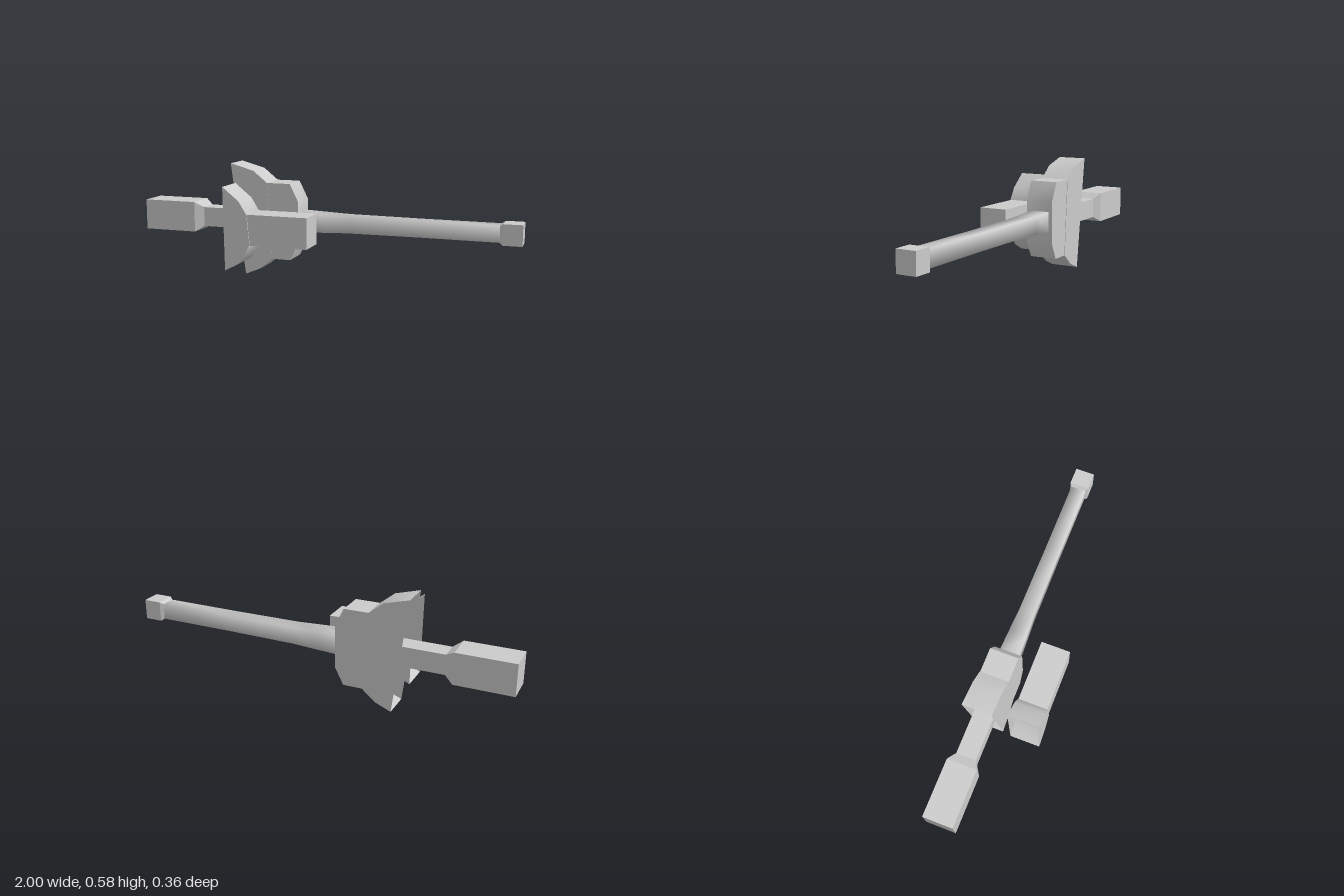
import * as THREE from 'three';
import { toCreasedNormals } from 'three/addons/utils/BufferGeometryUtils.js';

const solid = new THREE.MeshStandardMaterial({ color: 0xcccccc });
const open = new THREE.MeshStandardMaterial({ color: 0xcccccc, side: THREE.DoubleSide });

// Plate cut from an outline between z0 and z1
function plate(name, outline, z0, z1) {
  const shape = new THREE.Shape(outline.map(([x, y]) => new THREE.Vector2(x, y)));
  const geo = new THREE.ExtrudeGeometry(shape, { depth: z1 - z0, bevelEnabled: false });
  geo.translate(0, 0, z0);
  const mesh = new THREE.Mesh(toCreasedNormals(geo, 0.75), solid);
  mesh.name = name;
  return mesh;
}

// Same plate, left hollow along the cutting edge (first to last outline point)
function openPlate(name, outline, z0, z1) {
  const mesh = plate(name, outline, z0, z1);
  const p = mesh.geometry.attributes.position;
  const n = mesh.geometry.attributes.normal;
  const tips = [outline[0], outline[outline.length - 1]];
  const isTip = (i) => tips.some(([x, y]) => Math.hypot(p.getX(i) - x, p.getY(i) - y) < 1e-4);
  const pos = [];
  const nor = [];
  for (let t = 0; t < p.count; t += 3) {
    if (isTip(t) && isTip(t + 1) && isTip(t + 2)) continue;
    for (let i = t; i < t + 3; i++) {
      pos.push(p.getX(i), p.getY(i), p.getZ(i));
      nor.push(n.getX(i), n.getY(i), n.getZ(i));
    }
  }
  mesh.geometry = new THREE.BufferGeometry();
  mesh.geometry.setAttribute('position', new THREE.Float32BufferAttribute(pos, 3));
  mesh.geometry.setAttribute('normal', new THREE.Float32BufferAttribute(nor, 3));
  mesh.material = open;
  return mesh;
}

// Square bar along x from sections [x, halfHeight, halfDepth]
function bar(name, sections, smooth) {
  const pos = [];
  const idx = [];
  for (const [x, h, d] of sections) {
    for (const [sy, sz] of [[-1, -1], [-1, 1], [1, 1], [1, -1]]) pos.push(x, sy * h, sz * d);
  }
  for (let s = 0; s < sections.length - 1; s++) {
    for (let k = 0; k < 4; k++) {
      const a = s * 4 + k;
      const b = s * 4 + ((k + 1) % 4);
      idx.push(a, a + 4, b, b, a + 4, b + 4);
    }
  }
  const e = (sections.length - 1) * 4;
  if (!smooth) idx.push(0, 1, 2, 0, 2, 3, e, e + 2, e + 1, e, e + 3, e + 2);
  let geo = new THREE.BufferGeometry();
  geo.setAttribute('position', new THREE.Float32BufferAttribute(pos, 3));
  geo.setIndex(idx);
  if (smooth) geo.computeVertexNormals();
  else geo = toCreasedNormals(geo, 0.3);
  const mesh = new THREE.Mesh(geo, solid);
  mesh.name = name;
  mesh.position.set(0, 0.29, -0.104);
  return mesh;
}

export function createModel() {
  const model = new THREE.Group();
  model.name = 'axe';

  // Handle: long shaft, end knob, butt grip
  model.add(
    bar('shaft', [[-0.14, 0.052, 0.052], [0, 0.047, 0.047], [0.13, 0.043, 0.041], [0.5, 0.041, 0.039], [0.91, 0.041, 0.039]], true),
    bar('endKnob', [[0.892, 0.041, 0.04], [0.908, 0.052, 0.05], [1, 0.052, 0.05]], false),
    bar('buttGrip', [[-1, 0.08, 0.076], [-0.71, 0.08, 0.076], [-0.665, 0.051, 0.05], [-0.27, 0.051, 0.05]], false),
  );

  // Main head: body block and flaring blade
  model.add(
    plate('headBody', [[-0.29, 0.49], [-0.265, 0.093], [-0.165, 0.093], [-0.12, 0.18], [-0.12, 0.4], [-0.165, 0.49]], -0.175, -0.03),
    openPlate('headBlade', [[-0.492, 0.585], [-0.365, 0.55], [-0.29, 0.49], [-0.265, 0.093], [-0.335, 0.035], [-0.415, 0.002]], -0.177, -0.029),
  );

  // Detached front piece: hollow blade with a square block
  model.add(openPlate('frontBlade',
    [[-0.443, 0.49], [-0.355, 0.42], [-0.315, 0.356], [-0.3, 0.205], [-0.33, 0.148], [-0.365, 0.102], [-0.436, 0.064]],
    0.023, 0.18));
  model.add(plate('frontBlock', [[-0.315, 0.356], [-0.3, 0.2], [0, 0.2], [0, 0.356]], 0.026, 0.176));

  return model;
}
